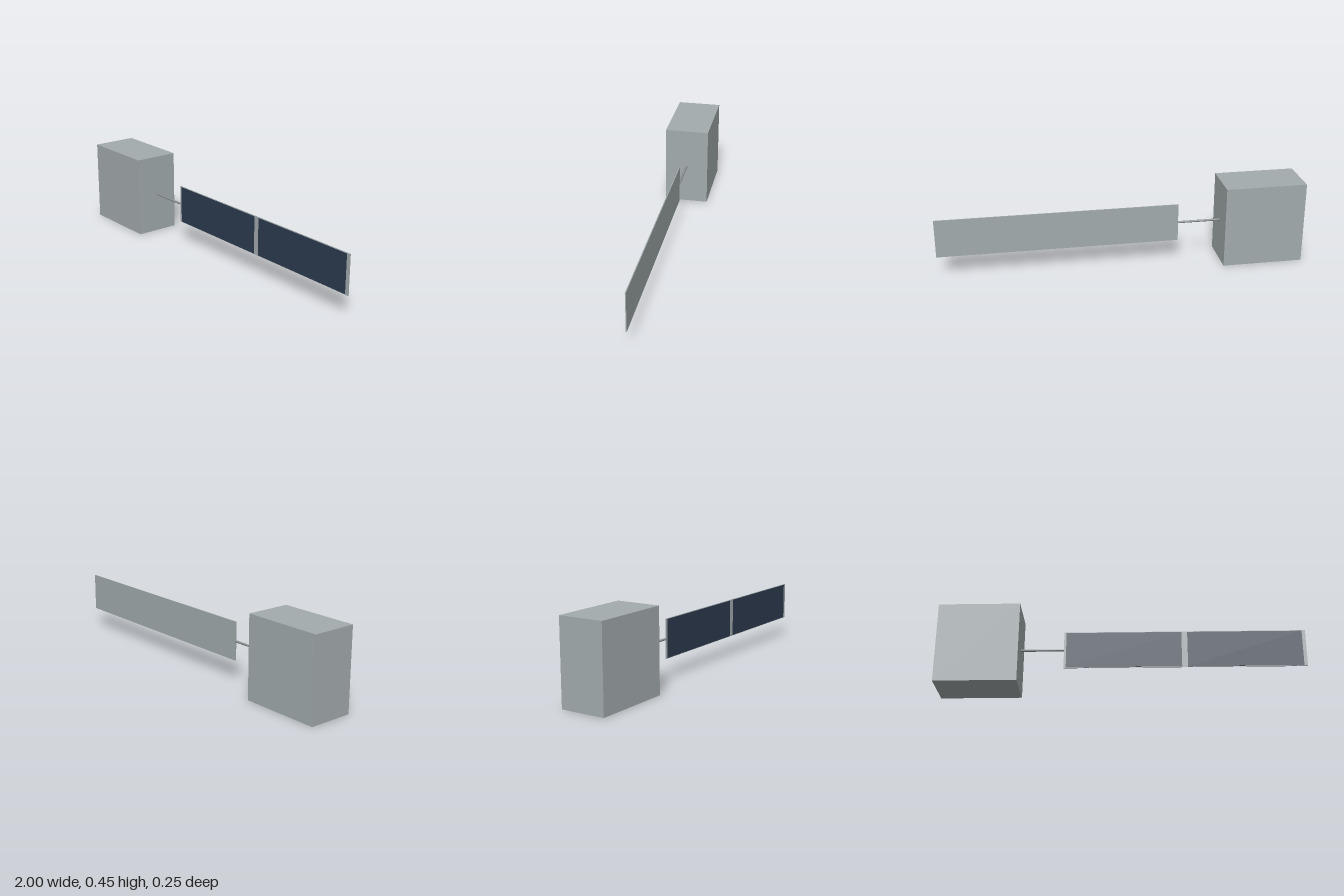
import * as THREE from 'three';

const grey = new THREE.MeshStandardMaterial({ name: 'hullGrey', color: 0xa3abad });
const rodGrey = new THREE.MeshStandardMaterial({ name: 'rodGrey', color: 0x8c9193 });
const navy = new THREE.MeshStandardMaterial({ name: 'cellNavy', color: 0x2c3a4e });

const MID_Y = 0.226;

export function createModel() {
  const model = new THREE.Group();
  model.name = 'solarPanelModule';

  // Box spanning x0..x1, centred on the given y and z
  const box = (name, material, x0, x1, height, depth, y = MID_Y, z = 0) => {
    const mesh = new THREE.Mesh(new THREE.BoxGeometry(x1 - x0, height, depth), material);
    mesh.name = name;
    mesh.position.set((x0 + x1) / 2, y, z);
    model.add(mesh);
  };

  // Main body
  box('body', grey, -1, -0.555, 0.452, 0.25);

  // Boom from the body to the panel
  const boom = new THREE.Mesh(new THREE.CylinderGeometry(0.006, 0.006, 0.237, 16), rodGrey);
  boom.name = 'boom';
  boom.rotation.z = Math.PI / 2;
  boom.position.set(-0.4375, MID_Y, 0);
  model.add(boom);

  // Panel backing, with two cell fields on the front
  box('panelBacking', grey, -0.32, 1, 0.213, 0.005);
  [[-0.308, 0.323], [0.355, 0.981]].forEach(([x0, x1], i) =>
    box(`solarCells${i + 1}`, navy, x0, x1, 0.207, 0.001, MID_Y, 0.0028));

  return model;
}
